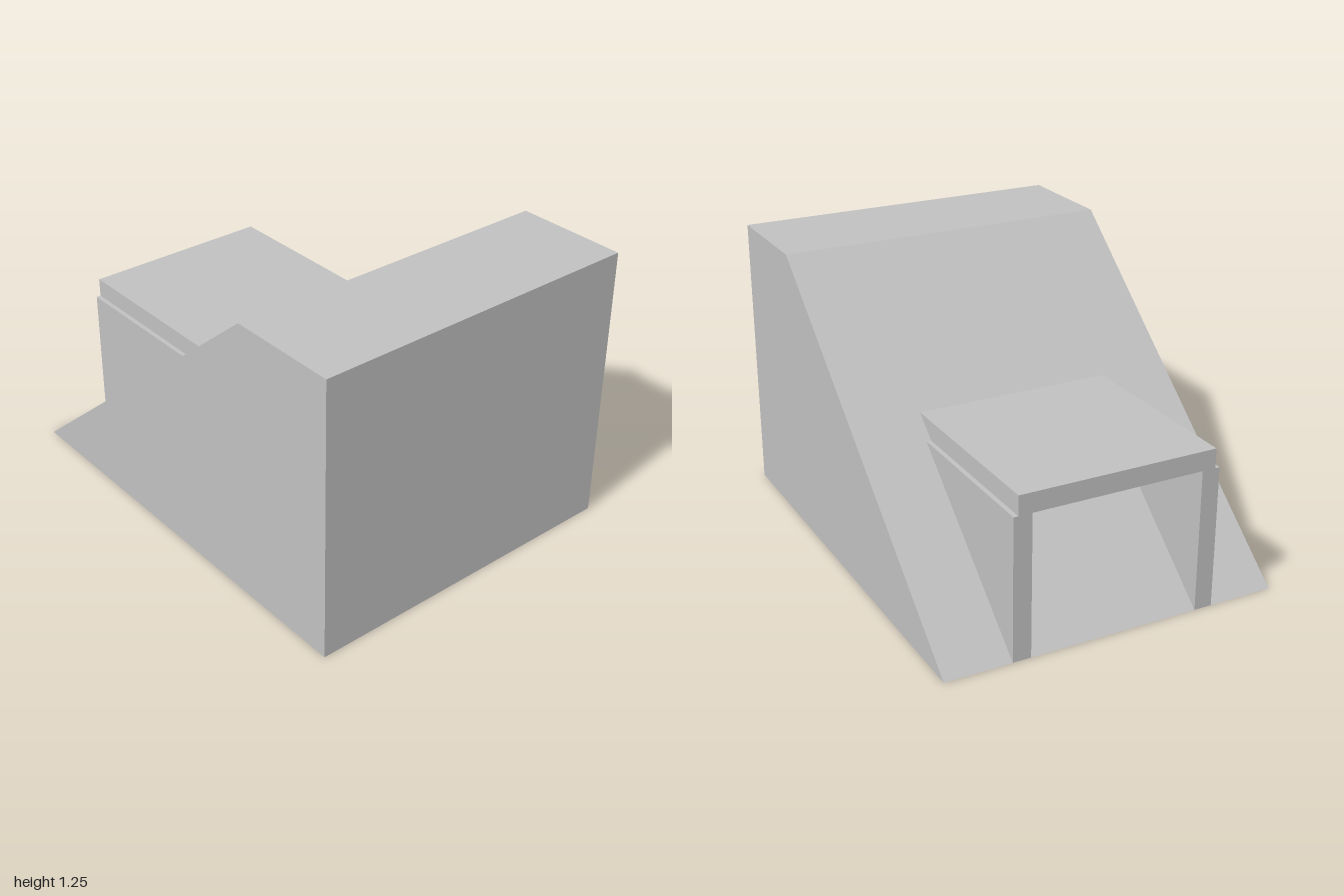
import * as THREE from 'three';

const DEPTH = 1.5;
// side outline: foot of the slope, crest, rear top edge, rear foot
const OUTLINE = [[-1, 0], [0.5, 1.25], [1, 1.25], [1, 0]];

export function createModel() {
  const group = new THREE.Group();
  group.name = 'rampWithTunnel';
  const grey = new THREE.MeshStandardMaterial({ color: 0xc0c0c0, side: THREE.DoubleSide });
  grey.name = 'light grey';

  const add = (name, geometry, x = 0, y = 0, z = 0) => {
    const mesh = new THREE.Mesh(geometry, grey);
    mesh.name = name;
    mesh.position.set(x, y, z);
    group.add(mesh);
  };

  // ramp shell, open underneath: one thin panel per outline edge
  ['slope', 'topDeck', 'endWall'].forEach((name, i) => {
    const [x0, y0] = OUTLINE[i];
    const [x1, y1] = OUTLINE[i + 1];
    const panel = new THREE.PlaneGeometry(Math.hypot(x1 - x0, y1 - y0), DEPTH)
      .rotateX(-Math.PI / 2)
      .rotateZ(Math.atan2(y1 - y0, x1 - x0));
    add(name, panel, (x0 + x1) / 2, (y0 + y1) / 2);
  });

  // side panels, each facing outwards
  for (const s of [1, -1]) {
    const shape = new THREE.Shape(OUTLINE.map(([x, y]) => new THREE.Vector2(x * s, y)));
    const panel = new THREE.ShapeGeometry(shape);
    if (s < 0) panel.rotateY(Math.PI);
    add(s > 0 ? 'frontPanel' : 'backPanel', panel, 0, 0, s * DEPTH / 2);
  }

  // tunnel walls and roof, running through the slope to the end wall
  const length = 1.995;
  const x = -1 + length / 2;
  for (const s of [1, -1]) {
    add(s > 0 ? 'frontTunnelWall' : 'backTunnelWall',
      new THREE.BoxGeometry(length, 0.625, 0.08), x, 0.3125, s * 0.418);
  }
  add('tunnelRoof', new THREE.BoxGeometry(length, 0.085, 0.875), x, 0.6675, 0);

  return group;
}
